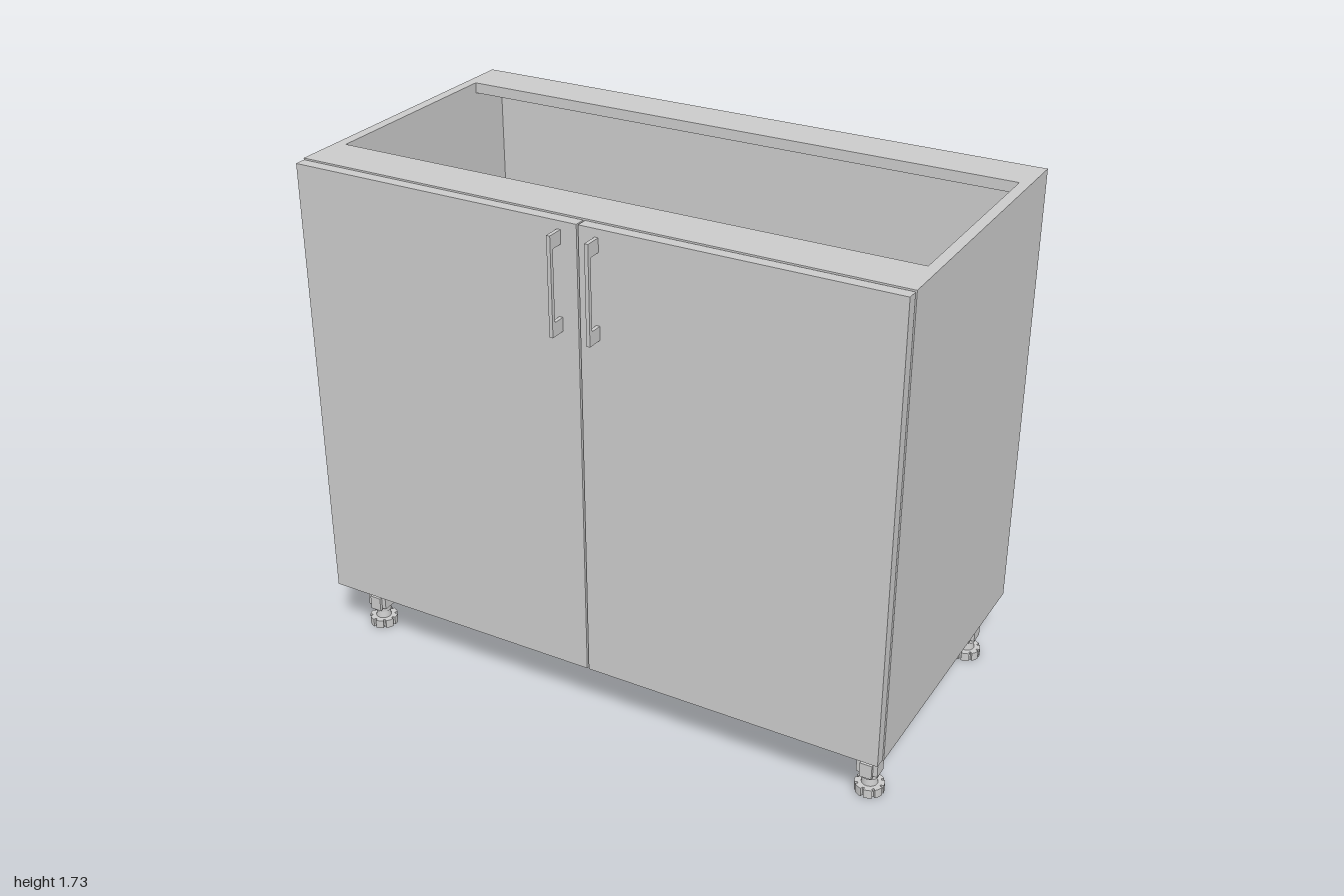
import * as THREE from 'three';

const grey = new THREE.MeshStandardMaterial({ color: 0xcccccc, flatShading: true });
const smooth = new THREE.MeshStandardMaterial({ color: 0xcccccc });

function add(parent, name, geometry, x = 0, y = 0, z = 0, material = grey) {
  const mesh = new THREE.Mesh(geometry, material);
  mesh.name = name;
  mesh.position.set(x, y, z);
  parent.add(mesh);
  return mesh;
}

// Box given by its lower and upper limits on each axis
function panel(parent, name, [x0, x1], [y0, y1], [z0, z1]) {
  return add(parent, name, new THREE.BoxGeometry(x1 - x0, y1 - y0, z1 - z0),
    (x0 + x1) / 2, (y0 + y1) / 2, (z0 + z1) / 2);
}

function cylinder(parent, name, rTop, rBottom, y0, y1, sides = 24) {
  return add(parent, name, new THREE.CylinderGeometry(rTop, rBottom, y1 - y0, sides),
    0, (y0 + y1) / 2, 0, smooth);
}

// Disc with evenly spaced notches in its rim, standing from y0 to y1
function notchedDisc(parent, name, r, inner, teeth, y0, y1) {
  const shape = new THREE.Shape();
  const step = (Math.PI * 2) / teeth;
  for (let i = 0; i < teeth; i++) {
    for (const [t, radius] of [[0, r], [0.2, r], [0.4, r], [0.6, r], [0.75, r], [0.78, inner], [0.97, inner]]) {
      const a = (i + t) * step;
      const x = Math.cos(a) * radius, y = Math.sin(a) * radius;
      if (i === 0 && t === 0) shape.moveTo(x, y);
      else shape.lineTo(x, y);
    }
  }
  shape.closePath();
  const geometry = new THREE.ExtrudeGeometry(shape, { depth: y1 - y0, bevelEnabled: false });
  geometry.rotateX(-Math.PI / 2);
  return add(parent, name, geometry, 0, y0, 0);
}

// Adjustable foot with a plinth clip on its front
function createFoot() {
  const foot = new THREE.Group();
  foot.name = 'foot';
  notchedDisc(foot, 'footPad', 0.047, 0.038, 8, 0, 0.03);
  cylinder(foot, 'footThread', 0.022, 0.026, 0.03, 0.06);
  cylinder(foot, 'footStem', 0.027, 0.027, 0.055, 0.17);
  cylinder(foot, 'footCollar', 0.042, 0.034, 0.163, 0.18);
  notchedDisc(foot, 'footFlange', 0.049, 0.042, 6, 0.172, 0.205);
  panel(foot, 'clipBody', [-0.035, 0.035], [0.077, 0.13], [0.012, 0.03]);
  for (const s of [-1, 1]) {
    panel(foot, 'clipArm', [s * 0.031 - 0.004, s * 0.031 + 0.004], [0.077, 0.13], [-0.018, 0.02]);
  }
  panel(foot, 'clipTongue', [-0.02, 0.02], [0.07, 0.12], [0.03, 0.04]);
  return foot;
}

// Bow handle: U-shaped plate with softened inner corners
function createHandle() {
  const shape = new THREE.Shape();
  shape.moveTo(0, 1.38);
  shape.lineTo(0.055, 1.38);
  shape.lineTo(0.055, 1.695);
  shape.lineTo(0, 1.695);
  shape.lineTo(0, 1.651);
  shape.lineTo(0.036, 1.651);
  shape.quadraticCurveTo(0.042, 1.651, 0.042, 1.645);
  shape.lineTo(0.042, 1.43);
  shape.quadraticCurveTo(0.042, 1.424, 0.036, 1.424);
  shape.lineTo(0, 1.424);
  shape.closePath();
  const geometry = new THREE.ExtrudeGeometry(shape, { depth: 0.012, bevelEnabled: false, curveSegments: 4 });
  geometry.translate(0, 0, -0.006);
  geometry.rotateY(-Math.PI / 2);
  return geometry;
}

// Concealed hinge between a side panel and its door
function createHinge(side) {
  const hinge = new THREE.Group();
  hinge.name = 'hinge';
  const x = (a, b) => (side > 0 ? [a, b] : [-b, -a]);
  panel(hinge, 'hingePlate', x(0.955, 0.965), [-0.033, 0.033], [0.34, 0.39]);
  panel(hinge, 'hingeArm', x(0.93, 0.957), [-0.013, 0.013], [0.3, 0.42]);
  panel(hinge, 'hingeLink', x(0.895, 0.945), [-0.012, 0.012], [0.41, 0.445]);
  panel(hinge, 'hingeFlange', x(0.885, 0.925), [-0.05, 0.05], [0.462, 0.468]);
  const cup = add(hinge, 'hingeCup', new THREE.CylinderGeometry(0.034, 0.034, 0.022, 24),
    side * 0.905, 0, 0.457, smooth);
  cup.rotation.x = Math.PI / 2;
  return hinge;
}

export function createModel() {
  const model = new THREE.Group();
  model.name = 'baseCabinet';
  const bottom = 0.205, top = 1.725, inner = 0.965;
  const back = -0.552, front = 0.465;

  // Carcass: floor, shelf, back panel and the two top rails
  const carcass = new THREE.Group();
  carcass.name = 'carcass';
  model.add(carcass);
  panel(carcass, 'floor', [-inner, inner], [bottom, bottom + 0.035], [back, front]);
  panel(carcass, 'shelf', [-inner, inner], [0.948, 0.983], [back, 0.43]);
  panel(carcass, 'backPanel', [-0.996, 0.996], [bottom + 0.004, top - 0.004], [-0.559, back]);
  panel(carcass, 'frontRail', [-inner, inner], [top - 0.035, top], [0.305, front]);
  panel(carcass, 'backRail', [-inner, inner], [top - 0.035, top], [back, -0.4]);

  const handle = createHandle();
  for (const side of [-1, 1]) {
    const span = (a, b) => (side > 0 ? [a, b] : [-b, -a]);
    panel(carcass, 'sidePanel', span(inner, 1), [bottom, top], [back, front]);

    // Door with handle and hinges
    const door = new THREE.Group();
    door.name = side > 0 ? 'leftDoor' : 'rightDoor';
    model.add(door);
    panel(door, 'doorPanel', span(0.003, 0.997), [bottom + 0.003, top - 0.004], [0.468, 0.505]);
    add(door, 'handle', handle, side * 0.062, 0, 0.505);
    for (const y of [0.32, 1.61]) {
      const hinge = createHinge(side);
      hinge.position.y = y;
      door.add(hinge);
    }

    // Feet
    for (const z of [0.37, -0.445]) {
      const foot = createFoot();
      foot.position.set(side * 0.923, 0, z);
      model.add(foot);
    }
  }
  return model;
}
